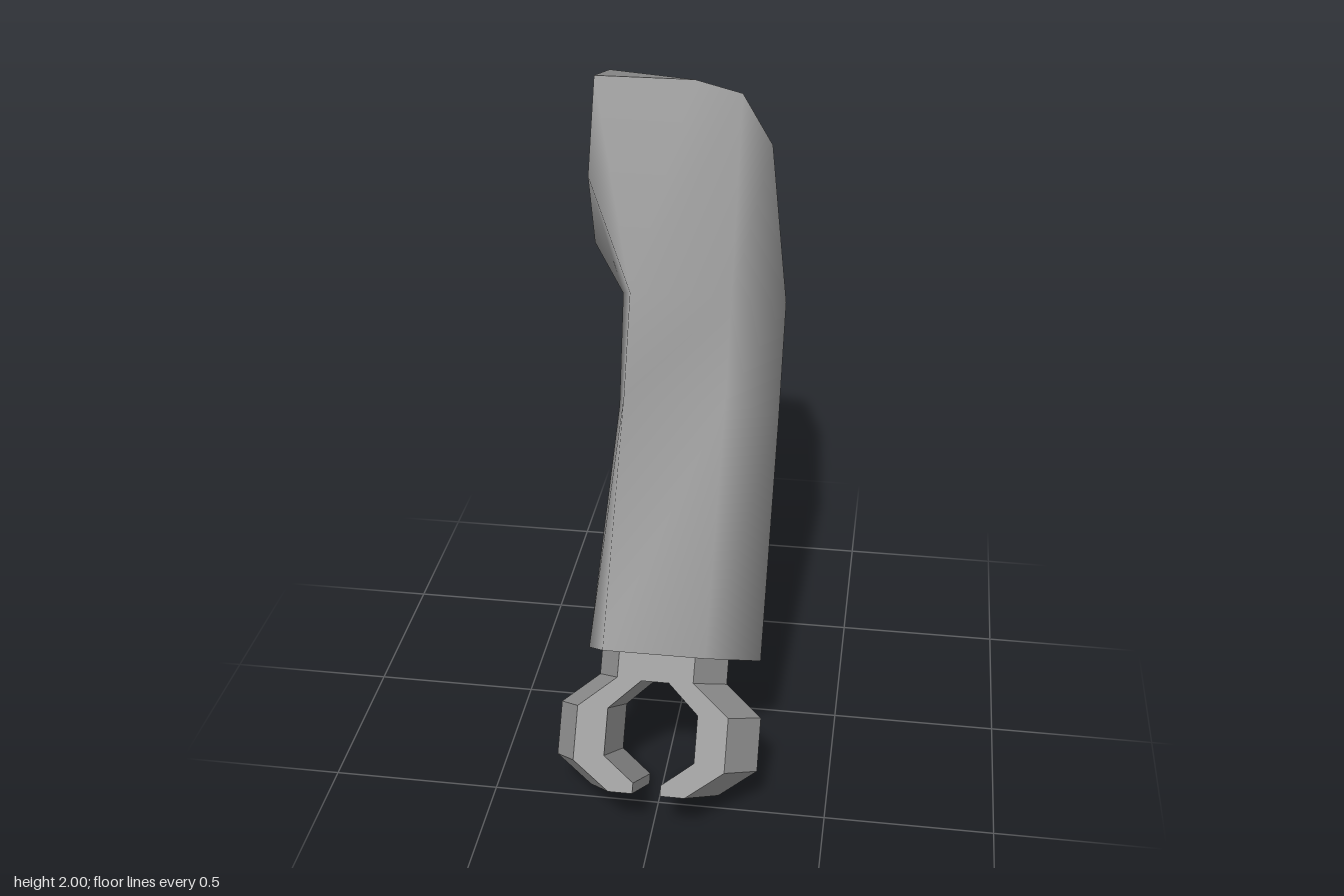
import * as THREE from 'three';
import { mergeVertices } from 'three/addons/utils/BufferGeometryUtils.js';

const material = new THREE.MeshStandardMaterial({ color: 0x9b9b9b });
const flatMaterial = new THREE.MeshStandardMaterial({ color: 0x9b9b9b, flatShading: true });

function mesh(name, geometry, mat) {
  const m = new THREE.Mesh(geometry, mat);
  m.name = name;
  return m;
}

// Geometry from a list of triangles, each made of three [x, y, z] corners
function fromTriangles(triangles) {
  const g = new THREE.BufferGeometry();
  g.setAttribute('position', new THREE.Float32BufferAttribute(triangles.flat(2), 3));
  const merged = mergeVertices(g, 1e-4);
  merged.computeVertexNormals();
  return merged;
}

const fan = (pts) => pts.slice(2).map((p, i) => [pts[0], pts[i + 1], p]);

// Six-sided sleeve section, counter-clockwise from above: front and back are [y, z]
function section(front, back, left, right) {
  const my = (front[0] + back[0]) / 2, mz = (front[1] + back[1]) / 2;
  return [
    [0.145, ...front], [right, my, mz], [0.145, ...back],
    [-0.15, ...back], [left, my, mz], [-0.15, ...front],
  ];
}

function createSleeve() {
  const sleeve = new THREE.Group();
  sleeve.name = 'sleeve';
  const sections = [
    section([0.58, 0.55], [0.30, 0.14], -0.23, 0.285),
    section([1.18, 0.13], [0.90, -0.28], -0.20, 0.285),
    section([1.45, 0], [1.24, -0.455], -0.21, 0.285),
  ];
  // Shoulder: rounded disc on the inner side, a few corners on the outer side
  const disc = [
    [2.0, -0.285], [1.94, -0.54], [1.77, -0.73], [1.5, -0.59], [1.5, -0.24], [1.74, -0.155],
  ].map(([y, z]) => [-0.295, y, z]);
  const [a, f, e, d, c, b] = disc;
  const frontMid = [0, 2.0, -0.285], backMid = [0, 1.77, -0.73];
  const fr = [0.14, 1.97, -0.27], r = [0.215, 1.76, -0.44], br = [0.14, 1.75, -0.715];

  // Repeated columns let the six sides fan out into the shoulder
  const columns = [0, 1, 2, 3, 3, 3, 4, 4, 5, 5, 5];
  const rings = sections.map((s) => columns.map((i) => s[i]));
  rings.push([fr, r, br, backMid, e, d, d, c, b, a, frontMid]);
  const skin = [];
  for (let k = 0; k < rings.length - 1; k++) {
    const lo = rings[k], hi = rings[k + 1];
    for (let i = 0; i < lo.length; i++) {
      const j = (i + 1) % lo.length;
      if (lo[i] !== lo[j]) skin.push([lo[i], lo[j], hi[j]]);
      if (hi[i] !== hi[j]) skin.push([lo[i], hi[j], hi[i]]);
    }
  }
  sleeve.add(mesh('sleeveSkin', fromTriangles(skin), material));

  // Sloping top, shaded as one even face
  const top = fromTriangles([[fr, r, br], ...fan([f, a, frontMid, fr, br, backMid, e])]);
  const n = top.attributes.normal;
  for (let i = 0; i < n.count; i++) n.setXYZ(i, 0, 0.89, -0.455);
  sleeve.add(mesh('shoulderTop', top, material));
  sleeve.add(mesh('shoulderDisc', fromTriangles(fan(disc)), flatMaterial));
  sleeve.add(mesh('cuff', fromTriangles(fan([...sections[0]].reverse())), flatMaterial));
  return sleeve;
}

// Clip-shaped hand: open ring with a stem, its outside bulging at mid-depth
function createHand() {
  const half = [
    [0.04, 0.32], [0.13, 0.235], [0.13, 0.1], [0.04, 0.03], [0.04, 0],
    [0.11, 0], [0.218, 0.08], [0.218, 0.235], [0.11, 0.325], [0.11, 0.42],
  ];
  const mirrored = half.map(([x, y]) => [-x, y]).reverse();
  const shape = new THREE.Shape([...half, ...mirrored].map((p) => new THREE.Vector2(...p)));
  const depth = 0.38;
  const g = new THREE.ExtrudeGeometry(shape, { depth, steps: 2, bevelEnabled: false });
  g.translate(0, 0, -depth / 2);
  const p = g.attributes.position;
  for (let i = 0; i < p.count; i++) {
    const x = p.getX(i), y = p.getY(i);
    const outside = Math.abs(x) > 0.2 || (Math.abs(x) > 0.1 && (y < 0.05 || y > 0.3));
    if (outside && Math.abs(p.getZ(i)) < 0.01) p.setX(i, x + Math.sign(x) * 0.08);
  }
  g.computeVertexNormals();
  const hand = mesh('hand', g, flatMaterial);
  hand.position.set(0, 0.11, 0.573);
  hand.rotation.x = -0.61;
  return hand;
}

export function createModel() {
  const model = new THREE.Group();
  model.name = 'arm';
  model.add(createSleeve(), createHand());
  return model;
}
